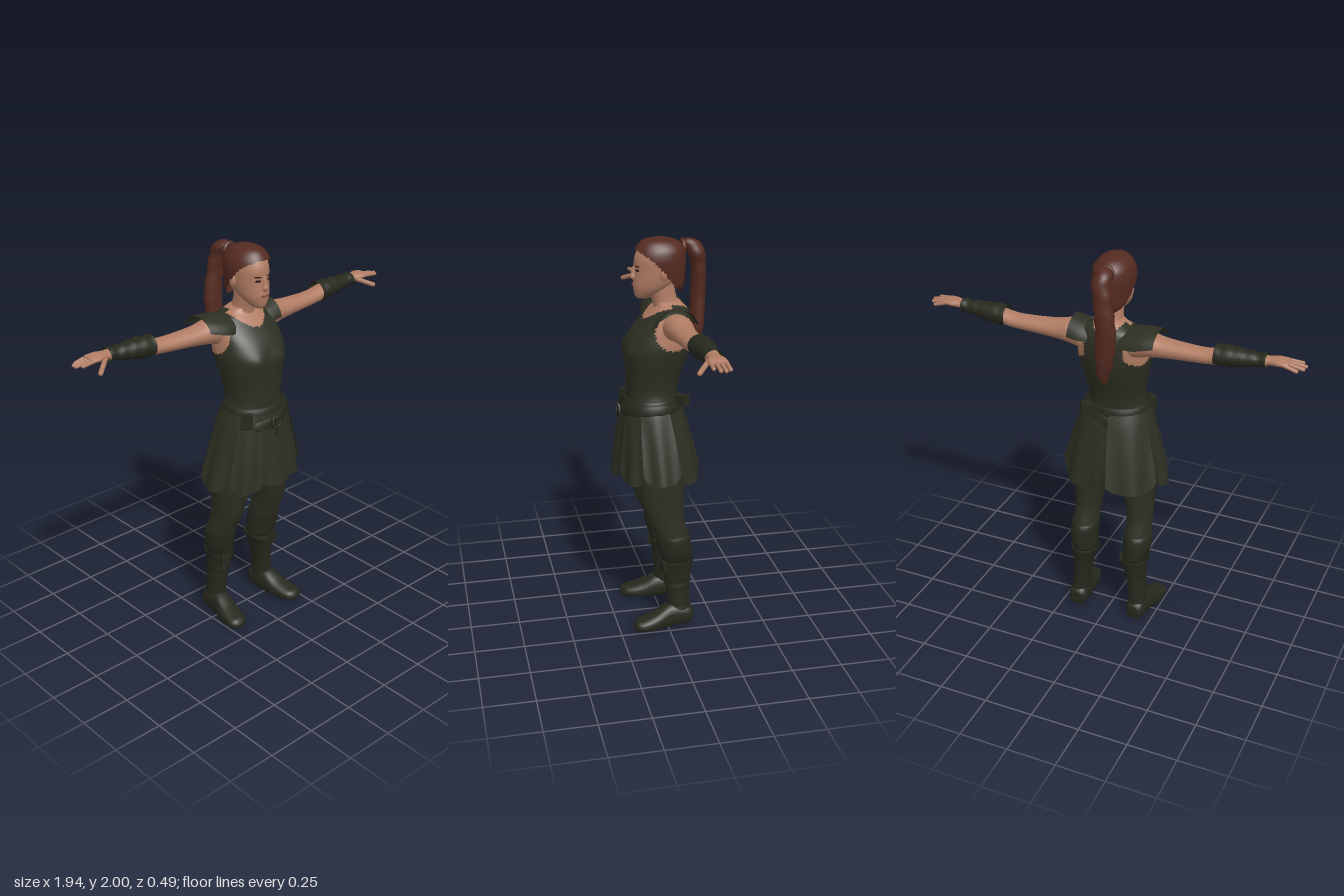
import * as THREE from 'three';

const flat = (name, color, side = THREE.FrontSide) => {
  const m = new THREE.MeshStandardMaterial({ color, side });
  m.name = name;
  return m;
};

// Smooth loft. Sections are [along, c1, c2, r1, r2]; c1/r1 follow the cosine, c2/r2 the sine.
// Axis y: cos = x, sin = z.  Axis x: cos = z, sin = y.  Axis z: cos = y, sin = x.
function loft(name, mats, sections, o = {}) {
  const { axis = 'y', seg = 24, sub = 4, arc = null, cap = !arc, pow = 1, shape = null, pick = null } = o;
  const rows = [];
  const at = i => sections[Math.min(Math.max(i, 0), sections.length - 1)];
  for (let i = 0; i < sections.length - 1; i++) {
    for (let k = 0; k < sub; k++) {
      const t = k / sub;
      rows.push(at(i).map((b, c) => {
        const a = at(i - 1)[c], d = at(i + 1)[c], e = at(i + 2)[c];
        return b + 0.5 * t * (d - a + t * (2 * a - 5 * b + 4 * d - e + t * (3 * (b - d) + e - a)));
      }));
    }
  }
  rows.push(at(sections.length - 1));
  const pts = [], cols = arc ? seg + 1 : seg;
  const put = (u, v, w) => {
    const p = axis === 'y' ? new THREE.Vector3(u, v, w)
      : axis === 'x' ? new THREE.Vector3(v, w, u) : new THREE.Vector3(w, u, v);
    if (shape) shape(p);
    pts.push(p);
  };
  const bend = c => Math.sign(c) * Math.abs(c) ** pow;
  for (const [s, c1, c2, r1, r2] of rows) {
    for (let j = 0; j < cols; j++) {
      const a = arc ? arc[0] + (arc[1] - arc[0]) * j / seg : j / seg * Math.PI * 2;
      put(c1 + Math.max(r1, 0.001) * bend(Math.cos(a)), s, c2 + Math.max(r2, 0.001) * bend(Math.sin(a)));
    }
  }
  const list = Array.isArray(mats) ? mats : [mats];
  const faces = list.map(() => []);
  const tri = (a, b, c) => {
    const mid = pts[a].clone().add(pts[b]).add(pts[c]).divideScalar(3);
    const m = pick ? pick(mid) : 0;
    if (m >= 0) faces[m].push(a, b, c);
  };
  for (let i = 0; i < rows.length - 1; i++) {
    for (let j = 0; j < seg; j++) {
      const a = i * cols + j, d = i * cols + (j + 1) % cols, b = a + cols, c = d + cols;
      tri(a, b, d);
      tri(d, b, c);
    }
  }
  if (cap) {
    const lo = rows[0], hi = rows[rows.length - 1], top = (rows.length - 1) * cols;
    put(lo[1], lo[0], lo[2]);
    put(hi[1], hi[0], hi[2]);
    for (let j = 0; j < seg; j++) {
      tri(pts.length - 2, j, (j + 1) % cols);
      tri(pts.length - 1, top + (j + 1) % cols, top + j);
    }
  }
  const g = new THREE.BufferGeometry().setFromPoints(pts);
  g.setIndex(faces.flat());
  let start = 0;
  faces.forEach((f, i) => { g.addGroup(start, f.length, i); start += f.length; });
  g.computeVertexNormals();
  return named(name, new THREE.Mesh(g, list.length > 1 ? list : list[0]));
}

const named = (name, m) => { m.name = name; return m; };

// Reflected copy across x = 0 with its winding restored
function mirror(mesh, name = mesh.name.replace('left', 'right')) {
  mesh.updateMatrix();
  const g = mesh.geometry.clone().applyMatrix4(mesh.matrix).scale(-1, 1, 1);
  const ix = g.index.array;
  for (let i = 0; i < ix.length; i += 3) [ix[i + 1], ix[i + 2]] = [ix[i + 2], ix[i + 1]];
  return named(name, new THREE.Mesh(g, mesh.material));
}

function box(name, mat, size, pos, rot = [0, 0, 0]) {
  const m = named(name, new THREE.Mesh(new THREE.BoxGeometry(...size), mat));
  m.position.set(...pos);
  m.rotation.set(...rot);
  return m;
}

// Tapered finger between two points
function finger(name, mat, from, to, r) {
  const a = new THREE.Vector3(...from), b = new THREE.Vector3(...to), d = b.clone().sub(a);
  const m = named(name, new THREE.Mesh(new THREE.CapsuleGeometry(r, d.length() - r, 4, 8), mat));
  m.position.copy(a).add(b).multiplyScalar(0.5);
  m.quaternion.setFromUnitVectors(new THREE.Vector3(0, 1, 0), d.normalize());
  return m;
}

export function createModel() {
  const model = new THREE.Group();
  model.name = 'ponytailWarrior';
  const skin = flat('skin', 0xb07c63), hair = flat('hair', 0x542a20, THREE.DoubleSide);
  const cloth = flat('oliveCloth', 0x2d2f22, THREE.DoubleSide), leather = flat('darkLeather', 0x26281d, THREE.DoubleSide);
  const dark = flat('eyeDark', 0x2c1a15), lip = flat('lips', 0x86503f);
  const add = (...m) => model.add(...m);
  const pair = m => add(m, mirror(m));

  // Torso: sleeveless tunic with skin at the armholes and scooped neck
  add(loft('tunic', [cloth, skin], [
    [1.12, 0, 0.045, 0.17, 0.135], [1.19, 0, 0.045, 0.152, 0.122], [1.25, 0, 0.042, 0.14, 0.124],
    [1.32, 0, 0.036, 0.148, 0.134], [1.4, 0, 0.025, 0.166, 0.15], [1.47, 0, 0.014, 0.178, 0.157],
    [1.54, 0, -0.006, 0.175, 0.147], [1.6, 0, -0.03, 0.17, 0.12], [1.645, 0, -0.045, 0.145, 0.092],
    [1.67, 0, -0.045, 0.095, 0.07], [1.69, 0, -0.035, 0.055, 0.06]], {
    seg: 72, sub: 6, pow: 0.88,
    shape: p => {
      if (p.z > 0.05) p.z += 0.014 * Math.exp(-(((Math.abs(p.x) - 0.075) / 0.05) ** 2) - ((p.y - 1.46) / 0.05) ** 2);
    },
    pick: p => {
      const arm = Math.abs(p.x) > 0.1 && ((p.y - 1.56) / 0.085) ** 2 + ((p.z + 0.045) / 0.1) ** 2 < 1;
      const neck = p.y > (p.z > -0.04 ? 1.605 : 1.645) + 6 * p.x * p.x;
      return arm || neck ? 1 : 0;
    } }));
  add(loft('neck', skin, [[1.64, 0, -0.04, 0.065, 0.07], [1.69, 0, -0.025, 0.053, 0.063],
    [1.74, 0, -0.01, 0.05, 0.065], [1.8, 0, 0, 0.05, 0.07]]));
  const arc = [0.2, Math.PI - 0.2];
  add(loft('left shoulder strap', cloth, [[0.08, -0.05, 1.575, 0.1, 0.085], [0.13, -0.05, 1.575, 0.108, 0.095],
    [0.185, -0.05, 1.58, 0.105, 0.102]], { axis: 'x', arc }));
  add(mirror(loft('right shoulder pad', cloth, [[0.08, -0.05, 1.575, 0.105, 0.088], [0.15, -0.05, 1.575, 0.118, 0.098],
    [0.21, -0.055, 1.59, 0.112, 0.09], [0.26, -0.06, 1.605, 0.1, 0.075]], { axis: 'x', arc }), 'right shoulder pad'));

  // Head, face and ears
  add(loft('head', skin, [[1.705, 0, 0.085, 0.015, 0.025], [1.72, 0, 0.073, 0.038, 0.05], [1.76, 0, 0.045, 0.066, 0.087],
    [1.8, 0, 0.025, 0.077, 0.105], [1.85, 0, 0.012, 0.084, 0.114], [1.9, 0, 0.005, 0.086, 0.12],
    [1.95, 0, 0, 0.074, 0.104], [1.98, 0, 0, 0.045, 0.065]], { seg: 32 }));
  add(loft('nose', skin, [[1.795, 0, 0.12, 0.009, 0.012], [1.81, 0, 0.125, 0.016, 0.022], [1.83, 0, 0.122, 0.01, 0.02],
    [1.87, 0, 0.115, 0.007, 0.012]], { seg: 12 }));
  add(box('mouth', lip, [0.042, 0.01, 0.008], [0, 1.772, 0.131]));
  pair(box('left eye', dark, [0.026, 0.009, 0.006], [0.033, 1.848, 0.118], [0, 0.25, 0]));
  pair(box('left brow', dark, [0.034, 0.005, 0.006], [0.034, 1.867, 0.117], [0, 0.25, 0.1]));
  const ear = named('left ear', new THREE.Mesh(new THREE.SphereGeometry(1, 12, 8), skin));
  ear.scale.set(0.012, 0.032, 0.02);
  ear.position.set(0.088, 1.835, -0.002);
  pair(ear);

  // Swept-back hair, tie and ponytail
  add(loft('hair cap', hair, [[1.735, 0, -0.06, 0.045, 0.045], [1.77, 0, -0.04, 0.078, 0.077], [1.82, 0, -0.005, 0.095, 0.118],
    [1.87, 0, 0.003, 0.102, 0.13], [1.91, 0, 0.003, 0.102, 0.13], [1.95, 0, 0, 0.09, 0.118],
    [1.985, 0, 0.005, 0.058, 0.08], [2, 0, 0.005, 0.012, 0.02]], {
    seg: 64, sub: 6,
    pick: p => p.z < -0.07 + 0.85 * (p.y - 1.76) + 8 * Math.max(0, p.y - 1.88) ** 2 ? 0 : -1 }));
  add(loft('ponytail', hair, [[1.4, -0.02, -0.175, 0.006, 0.006], [1.45, -0.022, -0.183, 0.03, 0.024],
    [1.55, -0.032, -0.193, 0.046, 0.035], [1.7, -0.042, -0.2, 0.05, 0.037], [1.84, -0.025, -0.197, 0.046, 0.036],
    [1.92, -0.015, -0.18, 0.046, 0.045], [1.965, -0.015, -0.155, 0.036, 0.045], [1.985, -0.015, -0.145, 0.012, 0.015]], {
    shape: p => { p.x += 0.004 * Math.sin(p.y * 70); } }));
  const tie = named('hair tie', new THREE.Mesh(new THREE.TorusGeometry(0.03, 0.012, 8, 16), hair));
  tie.position.set(-0.01, 1.945, -0.115);
  add(tie);

  // Arms, bracers and hands
  pair(loft('left arm', skin, [[0.12, -0.05, 1.58, 0.075, 0.07], [0.2, -0.052, 1.594, 0.07, 0.062],
    [0.28, -0.055, 1.592, 0.06, 0.048], [0.4, -0.06, 1.593, 0.053, 0.039], [0.5, -0.064, 1.597, 0.05, 0.036],
    [0.6, -0.066, 1.612, 0.047, 0.038], [0.76, -0.068, 1.628, 0.034, 0.025], [0.8, -0.067, 1.633, 0.032, 0.02],
    [0.84, -0.065, 1.636, 0.043, 0.02], [0.875, -0.064, 1.637, 0.045, 0.015], [0.89, -0.064, 1.637, 0.036, 0.009]], { axis: 'x' }));
  pair(loft('left bracer', leather, [[0.54, -0.065, 1.614, 0.056, 0.05], [0.6, -0.066, 1.617, 0.057, 0.05],
    [0.68, -0.067, 1.622, 0.048, 0.042], [0.75, -0.068, 1.628, 0.04, 0.032], [0.785, -0.068, 1.63, 0.042, 0.035]], {
    axis: 'x', cap: false, shape: p => { p.y += 0.003 * Math.sin(p.x * 110 + p.z * 20); } }));
  for (let i = 0; i < 4; i++) {
    const tip = [0.945, 0.965, 0.96, 0.935][i], z = -0.03 - i * 0.023;
    pair(finger('left finger ' + (i + 1), skin, [0.865, 1.637, z], [tip, 1.63 - 0.004 * i, z * 1.1 + 0.006], 0.0095));
  }
  pair(finger('left thumb', skin, [0.81, 1.628, -0.04], [0.885, 1.593, 0.022], 0.012));

  // Legs, knee guards, boots
  pair(loft('left leg', cloth, [[0.3, 0.14, -0.06, 0.055, 0.07], [0.42, 0.148, -0.05, 0.063, 0.078],
    [0.5, 0.148, -0.032, 0.066, 0.083], [0.6, 0.145, 0.002, 0.066, 0.094], [0.7, 0.136, 0.014, 0.077, 0.11],
    [0.8, 0.122, 0.02, 0.094, 0.12], [0.95, 0.1, 0.03, 0.1, 0.125], [1.12, 0.075, 0.04, 0.085, 0.12]]));
  pair(loft('left knee guard', leather, [[0.36, 0.142, -0.055, 0.063, 0.078], [0.42, 0.15, -0.048, 0.071, 0.086],
    [0.48, 0.15, -0.038, 0.073, 0.089], [0.505, 0.149, -0.03, 0.068, 0.085]]));
  pair(loft('left boot shaft', leather, [[0.04, 0.166, -0.07, 0.05, 0.063], [0.1, 0.163, -0.066, 0.046, 0.06],
    [0.2, 0.156, -0.06, 0.047, 0.062], [0.28, 0.147, -0.06, 0.056, 0.072], [0.36, 0.138, -0.062, 0.077, 0.086]], {
    sub: 6, cap: false,
    shape: p => {
      if (p.y < 0.27) p.x += 0.003 * Math.sin(p.y * 150);
      if (p.y > 0.33) p.y -= 0.25 * Math.max(0, p.z + 0.06);
    } }));
  pair(loft('left foot', leather, [[-0.136, 0.045, 0.165, 0.035, 0.03], [-0.11, 0.05, 0.165, 0.055, 0.05],
    [-0.02, 0.052, 0.17, 0.066, 0.053], [0.06, 0.03, 0.183, 0.05, 0.06], [0.12, 0.024, 0.193, 0.035, 0.058],
    [0.16, 0.02, 0.198, 0.028, 0.044], [0.178, 0.015, 0.2, 0.012, 0.018]], {
    axis: 'z', pow: 0.85, shape: p => { p.y = Math.max(0, p.y); } }));
  pair(box('left boot buckle', leather, [0.045, 0.06, 0.02], [0.168, 0.335, 0.018], [0, 0.3, 0]));

  // Flared skirt of overlapping panels with rounded lower corners
  const panels = [[64, 114, 0.008, 0.81], [26, 70, 0, 0.8], [108, 154, 0, 0.79], [-22, 32, 0.01, 0.82],
    [148, 202, 0.01, 0.79], [-86, -16, 0, 0.79], [196, 266, 0, 0.79]];
  panels.forEach(([a0, a1, out, bottom], i) => {
    const g = new THREE.PlaneGeometry(1, 1, 14, 12), p = g.attributes.position;
    for (let k = 0; k < p.count; k++) {
      const s = p.getX(k) * 2, t = 0.5 - p.getY(k);
      const a = THREE.MathUtils.degToRad((a0 + a1) / 2 - s * (a1 - a0) / 2 * (1 - 0.1 * t));
      const f = t ** 0.85, r = out * t + 0.008 * t * Math.cos(s * 5);
      p.setXYZ(k, (0.17 + 0.095 * f + r) * Math.cos(a), 1.19 - t * (1.19 - bottom - 0.045 * Math.abs(s) ** 5),
        0.05 - 0.03 * f + (0.147 + 0.07 * f + r) * Math.sin(a));
    }
    g.computeVertexNormals();
    add(named('skirt panel ' + (i + 1), new THREE.Mesh(g, cloth)));
  });

  // Belts, buckle and pouches
  const belt = (name, y, tilt, grow) => add(loft(name, leather, [[y - 0.026, 0, 0.05, 0.17 + grow, 0.145 + grow],
    [y - 0.02, 0, 0.05, 0.177 + grow, 0.152 + grow], [y + 0.02, 0, 0.05, 0.168 + grow, 0.146 + grow],
    [y + 0.026, 0, 0.05, 0.158 + grow, 0.136 + grow]], {
    seg: 40, sub: 2, cap: false, shape: p => { p.y += tilt * p.x; } }));
  belt('waist belt', 1.195, 0, -0.004);
  belt('slanted belt', 1.15, 0.17, 0.008);
  const buckle = named('belt buckle', new THREE.Mesh(new THREE.TorusGeometry(0.034, 0.008, 6, 4), leather));
  buckle.rotation.z = Math.PI / 4;
  buckle.position.set(0.005, 1.145, 0.212);
  add(buckle);
  add(box('belt tongue', leather, [0.022, 0.09, 0.009], [0.005, 1.12, 0.213]));
  add(box('front pouch', leather, [0.06, 0.08, 0.04], [-0.135, 1.165, 0.15], [0, -0.7, 0]));
  add(box('back pouch', leather, [0.075, 0.05, 0.045], [0.105, 1.205, -0.085], [0, 0.6, 0.1]));
  return model;
}
